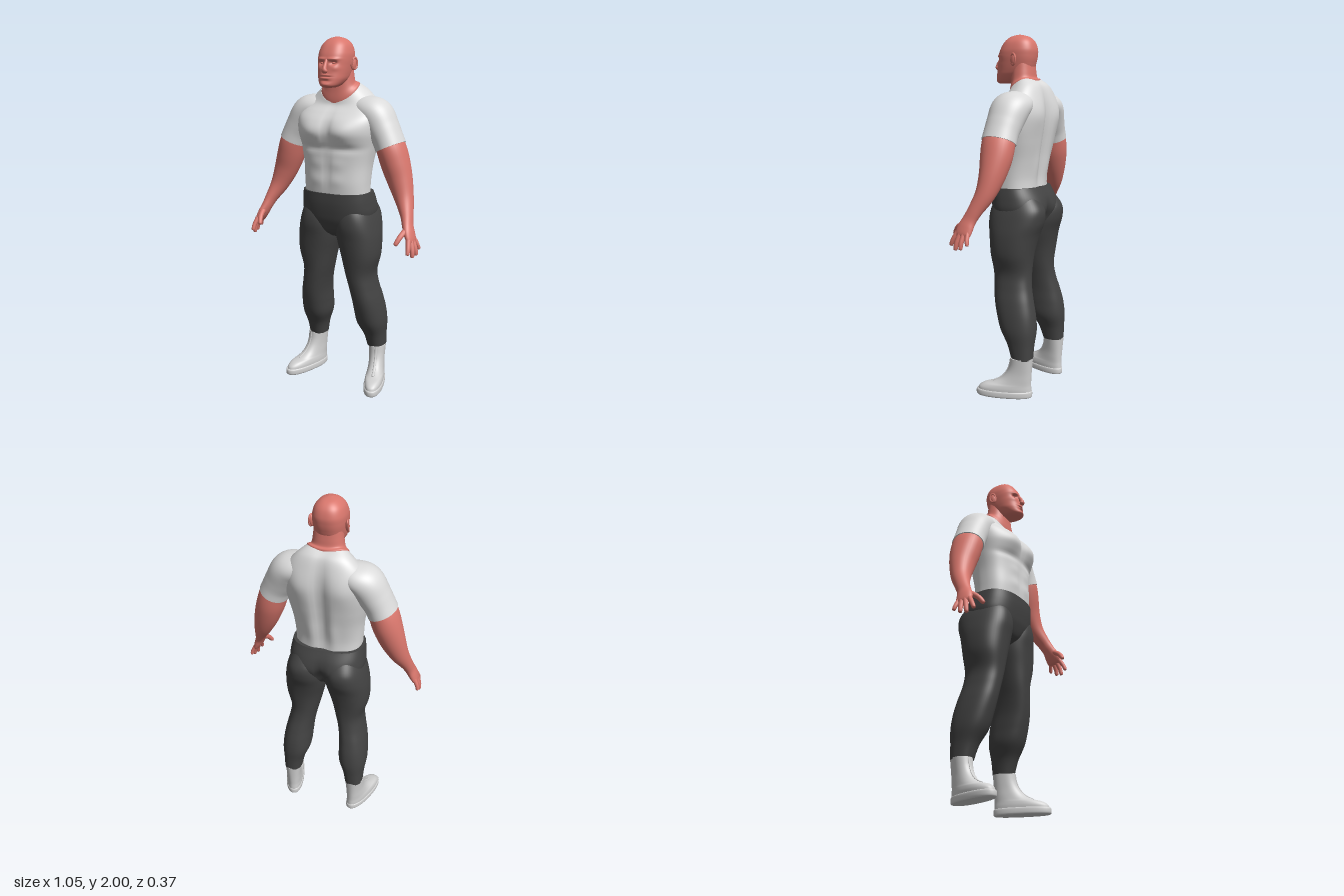
import * as THREE from 'three';

const mat = (name, color) => Object.assign(new THREE.MeshStandardMaterial({ color }), { name });
const skin = mat('skin', 0xd9776d);
const shirt = mat('shirt', 0xdadada);
const cloth = mat('trousers', 0x434343);
const leather = mat('boots', 0xd0d0d0);

// Catmull-Rom resampling of every column of a table of rows
function resample(rows, steps) {
  const out = [], last = rows.length - 1;
  for (let k = 0; k <= last * steps; k++) {
    const i = Math.min(Math.floor(k / steps), last - 1), t = k / steps - i;
    const [a, b, c, d] = [i - 1, i, i + 1, i + 2].map(j => rows[THREE.MathUtils.clamp(j, 0, last)]);
    out.push(rows[0].map((_, q) => {
      const [p0, p1, p2, p3] = [a, b, c, d].map(r => r[q] ?? 0);
      return p1 + 0.5 * t * (p2 - p0 + t * (2 * p0 - 5 * p1 + 4 * p2 - p3 + t * (3 * (p1 - p2) + p3 - p0)));
    }));
  }
  return out;
}

// Closed skin over a list of rings, with separate end caps
function skinRings(rings) {
  const n = rings[0].length, pos = [], index = [];
  rings.forEach(r => r.forEach(p => pos.push(p.x, p.y, p.z)));
  for (let j = 0; j < rings.length - 1; j++) for (let i = 0; i < n; i++) {
    const a = j * n + i, b = j * n + (i + 1) % n;
    index.push(a, a + n, b, b, a + n, b + n);
  }
  [rings[0], rings[rings.length - 1]].forEach((r, end) => {
    const start = pos.length / 3, mid = new THREE.Vector3();
    r.forEach(p => { pos.push(p.x, p.y, p.z); mid.addScaledVector(p, 1 / n); });
    pos.push(mid.x, mid.y, mid.z);
    for (let i = 0; i < n; i++) {
      const a = start + i, b = start + (i + 1) % n;
      index.push(...(end ? [b, a, start + n] : [a, b, start + n]));
    }
  });
  const g = new THREE.BufferGeometry();
  g.setAttribute('position', new THREE.Float32BufferAttribute(pos, 3));
  g.setIndex(index);
  g.computeVertexNormals();
  return g;
}

// Level slices, bottom to top: [y, centre x, half width, front z, back z, slope, side lift]
function slices(rows, { steps = 6, around = 48, power = 2.3 } = {}) {
  const full = rows.map(r => [...r, 0, 0].slice(0, 7));
  const curve = v => Math.sign(v) * Math.abs(v) ** (2 / power);
  return skinRings(resample(full, steps).map(([y, cx, hw, zf, zb, slope, lift]) =>
    Array.from({ length: around }, (_, i) => {
      const a = i / around * Math.PI * 2, u = curve(Math.cos(a)), v = curve(Math.sin(a)) * (zf - zb) / 2;
      return new THREE.Vector3(cx + hw * u, y + slope * v + lift * u * u, (zf + zb) / 2 + v);
    })));
}

// Tapered limb along a path: [x, y, z, radius in the front plane, radius front to back]
function limb(rows, { steps = 6, around = 32 } = {}) {
  const pts = resample(rows, steps), at = i => new THREE.Vector3(...pts[i].slice(0, 3));
  return skinRings(pts.map((p, k) => {
    const T = at(Math.min(k + 1, pts.length - 1)).sub(at(Math.max(k - 1, 0))).normalize();
    const S = T.clone().cross(new THREE.Vector3(0, 0, 1)).normalize(), N = S.clone().cross(T);
    return Array.from({ length: around }, (_, i) => {
      const a = i / around * Math.PI * 2;
      return at(k).addScaledVector(S, p[3] * Math.cos(a)).addScaledVector(N, p[4] * Math.sin(a));
    });
  }));
}

// Soft mirrored bumps pushed along z: [x, y, spread x, spread y, depth, side]
function sculpt(g, bumps) {
  const p = g.attributes.position;
  for (let i = 0; i < p.count; i++) {
    const x = Math.abs(p.getX(i)), y = p.getY(i), z = p.getZ(i);
    let dz = 0;
    for (const [bx, by, sx, sy, d, side] of bumps)
      dz += side * d * THREE.MathUtils.clamp(side * z / 0.06, 0, 1) * Math.exp(-(((x - bx) / sx) ** 2) - ((y - by) / sy) ** 2);
    p.setZ(i, z + dz);
  }
  g.computeVertexNormals();
  return g;
}

function mirrored(g) {
  const m = g.clone().scale(-1, 1, 1), idx = m.index.array;
  for (let i = 0; i < idx.length; i += 3) [idx[i], idx[i + 1]] = [idx[i + 1], idx[i]];
  m.computeVertexNormals();
  return m;
}

export function createModel() {
  const model = new THREE.Group();
  model.name = 'muscularMan';
  const add = (name, g, m) => {
    const mesh = new THREE.Mesh(g, m);
    mesh.name = name;
    model.add(mesh);
  };
  const pair = (name, g, m) => { add(name + 'Left', g, m); add(name + 'Right', mirrored(g), m); };

  // Shirt body with chest, ribs and back muscles
  add('shirtBody', sculpt(slices([
    [1.14, 0, .187, .138, -.108], [1.22, 0, .190, .145, -.108], [1.32, 0, .198, .143, -.125],
    [1.42, 0, .218, .147, -.146], [1.50, 0, .235, .160, -.158], [1.57, 0, .238, .145, -.160, -.05],
    [1.63, 0, .220, .108, -.150, -.2], [1.68, 0, .165, .070, -.125, -.45, .01], [1.705, 0, .110, .060, -.085, -.65, .03],
  ], { steps: 8, around: 80, power: 2.5 }), [
    [.095, 1.51, .075, .06, .022, 1], [0, 1.53, .022, .09, -.012, 1], [.1, 1.415, .09, .02, -.010, 1],
    [0, 1.29, .015, .10, -.006, 1], [.06, 1.33, .04, .03, .004, 1], [.06, 1.24, .04, .03, .004, 1],
    [0, 1.45, .035, .24, -.028, -1], [.12, 1.57, .07, .08, .014, -1], [.06, 1.26, .03, .10, .008, -1],
  ]), shirt);

  // Shoulders and short sleeves
  pair('sleeve', limb([
    [.09, 1.635, -.045, .055, .08], [.16, 1.618, -.04, .076, .105], [.212, 1.588, -.033, .092, .108],
    [.256, 1.52, -.026, .088, .100], [.285, 1.47, -.022, .083, .096], [.306, 1.425, -.02, .083, .097],
  ], { around: 48 }), shirt);

  // Arms down to the palm
  pair('arm', limb([
    [.28, 1.48, -.02, .072, .085], [.31, 1.415, -.02, .079, .092], [.335, 1.34, -.02, .079, .087],
    [.367, 1.25, -.013, .070, .070], [.402, 1.16, .007, .053, .054], [.437, 1.08, .045, .035, .042],
    [.455, 1.03, .07, .028, .040], [.472, .99, .085, .025, .047], [.488, .955, .092, .018, .046], [.492, .94, .094, .008, .03],
  ]), skin);

  // Fingers and thumb: base, middle, tip, radius
  const fingers = {
    indexFinger: [[.484, .965, .125], [.494, .925, .148], [.496, .897, .160], .0125],
    middleFinger: [[.489, .960, .104], [.505, .910, .119], [.509, .877, .125], .013],
    ringFinger: [[.490, .960, .083], [.510, .912, .089], [.515, .882, .090], .0125],
    littleFinger: [[.488, .965, .062], [.508, .927, .055], [.514, .904, .050], .011],
    thumb: [[.462, 1.02, .085], [.448, .985, .145], [.434, .948, .175], .0145],
  };
  for (const [name, [a, b, c, r]] of Object.entries(fingers)) {
    const tip = c.map((v, i) => v + (c[i] - b[i]) * .15);
    pair(name, limb([[...a, r * 1.15, r * 1.15], [...b, r, r], [...c, r * .8, r * .8], [...tip, r * .15, r * .15]], { steps: 4, around: 12 }), skin);
  }

  // Neck
  add('neck', slices([
    [1.655, 0, .105, .054, -.080, -.6, .03], [1.708, 0, .109, .061, -.085, -.62, .03],
    [1.745, 0, .088, .058, -.071, -.35, .01], [1.80, 0, .080, .055, -.066], [1.85, 0, .075, .05, -.06],
  ]), skin);

  // Head with brow, eye sockets, cheeks, mouth and chin
  add('head', sculpt(slices([
    [1.738, 0, .030, .145, .07], [1.75, 0, .052, .157, .03], [1.78, 0, .071, .155, -.02], [1.81, 0, .079, .151, -.055],
    [1.85, 0, .085, .144, -.070], [1.885, 0, .088, .141, -.077], [1.92, 0, .086, .130, -.078],
    [1.96, 0, .072, .106, -.064], [1.987, 0, .044, .074, -.034], [1.999, 0, .010, .035, .012],
  ], { steps: 12, around: 112, power: 2.4 }), [
    [.036, 1.866, .017, .010, -.016, 1], [.035, 1.886, .03, .007, .007, 1], [.052, 1.838, .02, .014, .005, 1],
    [0, 1.795, .026, .003, -.007, 1], [0, 1.803, .02, .005, .006, 1], [0, 1.787, .018, .005, .006, 1],
    [0, 1.773, .025, .006, -.004, 1], [0, 1.755, .024, .010, .007, 1],
  ]), skin);
  add('nose', limb([
    [0, 1.885, .138, .008, .006], [0, 1.865, .147, .009, .010], [0, 1.838, .160, .012, .013],
    [0, 1.826, .161, .017, .013], [0, 1.817, .154, .012, .008],
  ], { around: 20 }), skin);

  // Ears and eyeballs
  pair('ear', new THREE.SphereGeometry(1, 20, 14).scale(.011, .034, .020).rotateY(-.35).rotateX(-.15).translate(.093, 1.86, .012), skin);
  pair('earLobeRim', new THREE.TorusGeometry(.019, .005, 8, 24).scale(.9, 1.5, 1).rotateY(Math.PI / 2 - .35).translate(.099, 1.862, .010), skin);
  pair('eye', new THREE.SphereGeometry(1, 16, 10).scale(.012, .006, .008).translate(.034, 1.864, .121), skin);

  // Trousers: hips and legs
  add('hips', sculpt(slices([
    [.905, 0, .035, .06, -.06], [.94, 0, .10, .105, -.115], [1.0, 0, .195, .132, -.150],
    [1.05, 0, .215, .143, -.165], [1.11, 0, .212, .150, -.155], [1.167, 0, .203, .150, -.126],
  ], { around: 64, power: 2.5 }), [[0, 1.0, .02, .07, -.03, -1], [.1, 1.05, .07, .06, .012, -1]]), cloth);
  pair('trouserLeg', slices([
    [.222, .200, .053, -.040, -.162], [.30, .194, .063, -.013, -.166], [.38, .183, .082, .033, -.172],
    [.46, .177, .083, .060, -.165], [.54, .168, .079, .080, -.147], [.62, .152, .077, .092, -.127],
    [.70, .138, .083, .101, -.120], [.80, .138, .107, .115, -.130], [.90, .125, .121, .127, -.152],
    [.98, .115, .118, .138, -.180], [1.05, .110, .104, .130, -.182], [1.12, .10, .085, .10, -.135],
  ]), cloth);

  // Boots, turned outward, with a lipped sole
  const place = g => g.rotateY(.3).translate(.205, 0, -.1);
  pair('boot', place(slices([
    [.03, 0, .052, .250, -.056], [.05, 0, .053, .243, -.055], [.068, 0, .051, .215, -.054], [.082, 0, .048, .165, -.054],
    [.105, 0, .046, .120, -.055], [.14, 0, .045, .088, -.057], [.18, 0, .047, .070, -.060], [.228, 0, .051, .062, -.064],
  ])), leather);
  pair('bootSole', place(slices([
    [0, 0, .053, .252, -.056], [.008, 0, .057, .259, -.060], [.03, 0, .057, .259, -.060], [.036, 0, .053, .252, -.056],
  ], { steps: 3 })), leather);
  pair('bootSeam', place(limb([
    [0, .222, .062, .006, .004], [0, .18, .070, .006, .004], [0, .14, .088, .007, .004], [0, .105, .120, .008, .004], [0, .083, .163, .008, .003],
  ], { around: 8 })), leather);

  return model;
}
